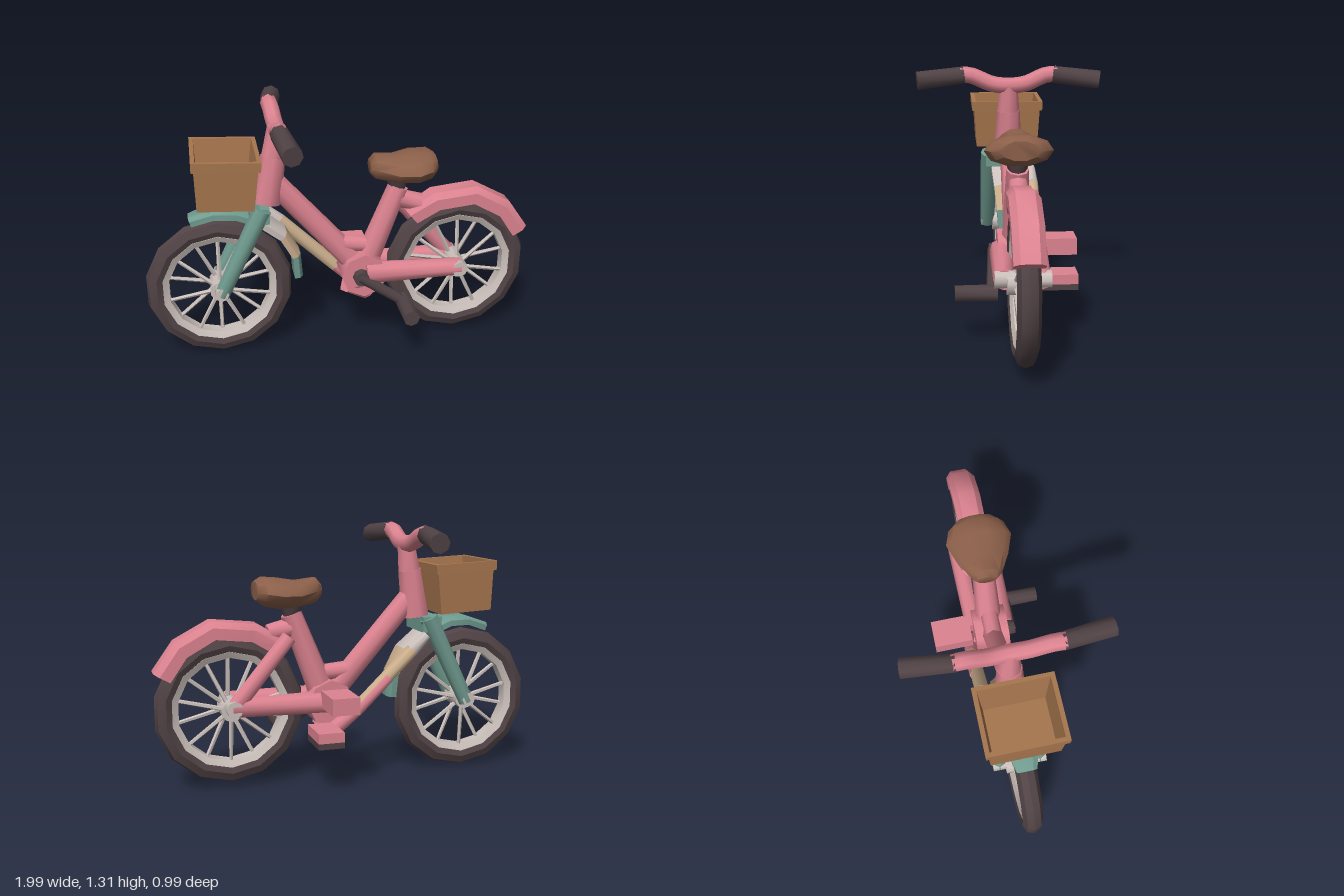
import * as THREE from 'three';
import { toCreasedNormals } from 'three/addons/utils/BufferGeometryUtils.js';

const mat = (name, color) => {
  const m = new THREE.MeshStandardMaterial({ color });
  m.name = name;
  return m;
};
const V = (p) => new THREE.Vector3(...p);

// Skin over rings of points (anticlockwise seen from the advancing end), capped at both ends
function loft(rings, crease = 0.6) {
  const n = rings[0].length, idx = [], last = (rings.length - 1) * n;
  for (let i = 0; i < rings.length - 1; i++) {
    for (let j = 0; j < n; j++) {
      const a = i * n + j, b = i * n + (j + 1) % n;
      idx.push(a, b, a + n, b, b + n, a + n);
    }
  }
  for (let j = 1; j < n - 1; j++) idx.push(0, j + 1, j, last, last + j, last + j + 1);
  const g = new THREE.BufferGeometry();
  g.setAttribute('position', new THREE.Float32BufferAttribute(rings.flat(2), 3));
  g.setIndex(idx);
  return toCreasedNormals(g, crease);
}

// Mudguard band round a wheel centre; stations are [degrees, outer radius, half width]
function band(cx, cy, t, stations) {
  return loft(stations.map(([deg, r, w]) => {
    const a = deg * Math.PI / 180;
    return [[0, 0.6 * w], [-0.35 * t, w], [-t, w], [-t, -w], [-0.35 * t, -w], [0, -0.6 * w]]
      .map(([h, z]) => [cx + (r + h) * Math.cos(a), cy + (r + h) * Math.sin(a), z]);
  }));
}

export function createModel() {
  const bike = new THREE.Group();
  bike.name = 'bicycle';
  const pink = mat('pink paint', 0xdc8390), dark = mat('dark rubber', 0x504245);
  const teal = mat('teal paint', 0x709b8f), pale = mat('pale metal', 0xcbc0bb);
  const tan = mat('tan paint', 0xcdb08e), wicker = mat('basket brown', 0xa8774f);
  const leather = mat('saddle brown', 0x8c604a);

  const add = (name, geo, m, parent = bike) => {
    const mesh = new THREE.Mesh(geo, m);
    mesh.name = name;
    parent.add(mesh);
    return mesh;
  };
  // Tapered round bar between two points
  const strut = (name, a, b, r1, r2, m, parent = bike, seg = 8) => {
    const A = V(a), d = V(b).sub(A);
    const g = new THREE.CylinderGeometry(r2, r1, d.length(), seg);
    const mesh = add(name, toCreasedNormals(g, 0.9), m, parent);
    mesh.position.copy(A).addScaledVector(d, 0.5);
    mesh.quaternion.setFromUnitVectors(new THREE.Vector3(0, 1, 0), d.normalize());
    return mesh;
  };
  const box = (name, size, pos, m) => add(name, new THREE.BoxGeometry(...size), m).position.set(...pos);
  const ring = (pts) => toCreasedNormals(new THREE.LatheGeometry(
    pts.map((p) => new THREE.Vector2(...p)), 14).rotateX(Math.PI / 2), 0.6);

  // Wheels
  const wheel = (name, x, y) => {
    const w = new THREE.Group();
    w.name = name;
    w.position.set(x, y, 0);
    bike.add(w);
    add('tyre', ring([[0.28, -0.035], [0.325, -0.053], [0.365, -0.035], [0.378, 0],
      [0.365, 0.035], [0.325, 0.053], [0.28, 0.035], [0.28, -0.035]]), dark, w);
    add('rim', ring([[0.262, -0.03], [0.295, -0.045], [0.295, 0.045], [0.262, 0.03], [0.262, -0.03]]), pale, w);
    strut('hub', [0, 0, -0.075], [0, 0, 0.075], 0.052, 0.052, pale, w, 10);
    for (let i = 0; i < 14; i++) {
      const a = (i + 0.5) / 14 * Math.PI * 2, c = Math.cos(a), s = Math.sin(a);
      const z = i % 2 ? 0.035 : -0.035;
      strut('spoke', [0.03 * c, 0.03 * s, z], [0.275 * c, 0.275 * s, z * 0.3], 0.012, 0.01, pale, w, 5);
    }
  };
  wheel('frontWheel', -0.625, 0.378);
  wheel('rearWheel', 0.625, 0.405);
  strut('frontAxle', [-0.62, 0.39, -0.14], [-0.62, 0.39, 0.14], 0.035, 0.035, pale);
  strut('rearAxle', [0.62, 0.425, -0.13], [0.62, 0.425, 0.13], 0.042, 0.042, pale);

  // Mudguards
  add('rearMudguard', band(0.625, 0.405, 0.09,
    [[130, 0.44, 0.055], [108, 0.448, 0.07], [79, 0.458, 0.072], [53, 0.443, 0.072], [29, 0.425, 0.07]]), pink);
  const guard = (name, st, m) => add(name, band(-0.625, 0.378, 0.045, st), m);
  guard('frontMudguard', [[109, 0.425, 0.05], [92, 0.445, 0.08], [77, 0.457, 0.1], [60, 0.452, 0.09]], teal);
  guard('mudguardPaleBand', [[60, 0.452, 0.09], [40, 0.455, 0.08]], pale);
  guard('mudguardTanBand', [[40, 0.455, 0.08], [22, 0.45, 0.07]], tan);
  guard('mudguardTip', [[22, 0.45, 0.07], [5, 0.43, 0.06]], teal);

  // Fork
  box('forkCrown', [0.1, 0.08, 0.24], [-0.415, 0.795, 0], teal);
  for (const s of [-1, 1]) {
    strut('forkLeg', [-0.4, 0.83, 0.1 * s], [-0.62, 0.375, 0.105 * s], 0.048, 0.04, teal);
  }

  // Frame
  strut('headTube', [-0.365, 0.83, 0], [-0.33, 1.07, 0], 0.075, 0.062, pink);
  strut('stem', [-0.33, 1.06, 0], [-0.308, 1.22, 0], 0.06, 0.046, pink);
  strut('downTube', [-0.34, 0.94, 0], [0.08, 0.46, 0], 0.058, 0.062, pink).scale.z = 0.85;
  strut('seatTube', [0.13, 0.42, 0], [0.305, 0.87, 0], 0.07, 0.055, pink);
  strut('gusset', [-0.02, 0.57, 0], [0.2, 0.55, 0], 0.045, 0.045, pink);
  strut('bottomBracket', [0.12, 0.41, -0.09], [0.12, 0.41, 0.09], 0.12, 0.12, pink);
  strut('bracketSkirt', [0.08, 0.36, 0], [0.16, 0.27, 0], 0.1, 0.05, pink);
  strut('guardBridge', [0.31, 0.8, 0], [0.42, 0.77, 0], 0.05, 0.05, pink);
  for (const s of [-1, 1]) {
    strut('chainStay', [0.13, 0.42, 0.07 * s], [0.63, 0.425, 0.088 * s], 0.06, 0.048, pink);
  }
  strut('seatStay', [0.33, 0.76, -0.06], [0.62, 0.42, -0.09], 0.04, 0.042, pink);

  // Side bar beside the frame
  strut('sideBarEnd', [-0.38, 0.745, -0.125], [-0.3, 0.67, -0.125], 0.025, 0.036, pale);
  strut('sideBar', [-0.3, 0.67, -0.125], [0.0, 0.38, -0.125], 0.036, 0.036, tan);
  strut('sideBarBacking', [-0.17, 0.54, -0.135], [0.0, 0.375, -0.135], 0.031, 0.031, pink);
  strut('sideBarFoot', [0.0, 0.38, -0.125], [0.13, 0.27, -0.11], 0.036, 0.04, pink);

  // Handlebar and grips
  const bar = [[1.265, 0.26], [1.26, 0.2], [1.215, 0.09], [1.205, 0]];
  const path = [...bar, ...bar.slice(0, 3).reverse().map(([y, z]) => [y, -z])]
    .map(([y, z]) => V([-0.305 - Math.abs(z) * 0.06, y, z]));
  add('handlebar', new THREE.TubeGeometry(new THREE.CatmullRomCurve3(path), 16, 0.043, 8), pink);
  for (const s of [-1, 1]) {
    strut('grip', [-0.32, 1.262, 0.24 * s], [-0.288, 1.235, 0.485 * s], 0.046, 0.05, dark);
  }

  // Basket: tapered open box with a rim, walls turning in at the top
  const rect = (y, hx, hz) => [[hx, -hz], [hx, hz], [-hx, hz], [-hx, -hz]]
    .map(([x, z]) => [x, y, z]).reverse();
  const basket = add('basket', loft([
    rect(-0.13, 0.138, 0.168), rect(0.075, 0.152, 0.18), rect(0.075, 0.164, 0.192),
    rect(0.125, 0.166, 0.194), rect(0.125, 0.145, 0.172), rect(-0.105, 0.125, 0.152)], 0.3), wicker);
  basket.position.set(-0.573, 0.99, 0);
  basket.rotation.z = -0.05;

  // Saddle: cross-sections from nose to tail
  const saddle = [[0.155, 0.985, 0.035, 0.05], [0.18, 0.985, 0.062, 0.075], [0.28, 0.968, 0.066, 0.125],
    [0.38, 0.975, 0.075, 0.16], [0.45, 0.985, 0.07, 0.135], [0.487, 0.99, 0.045, 0.09]];
  add('saddle', loft(saddle.map(([x, y, h, w]) => Array.from({ length: 10 }, (_, j) => {
    const a = (j + 0.5) / 10 * Math.PI * 2;
    return [x, y + 1.04 * h * Math.cos(a), w * 1.03 * Math.sin(a)];
  })), 0.8), leather);
  strut('saddlePost', [0.3, 0.85, 0], [0.3, 0.93, 0], 0.04, 0.065, dark);

  // Cranks and pedals
  strut('crankBoss', [0.1, 0.41, 0.08], [0.1, 0.41, 0.13], 0.045, 0.04, dark);
  strut('crank', [0.09, 0.415, 0.11], [0.33, 0.26, 0.125], 0.028, 0.03, dark);
  strut('pedal', [0.322, 0.26, 0.1], [0.322, 0.26, 0.308], 0.044, 0.042, dark);
  box('upperPedal', [0.14, 0.085, 0.2], [0.11, 0.445, -0.21], pink);
  box('lowerPedal', [0.13, 0.05, 0.2], [0.185, 0.295, -0.21], pink);
  box('lowerPedalSole', [0.13, 0.03, 0.2], [0.185, 0.255, -0.21], dark);
  return bike;
}
